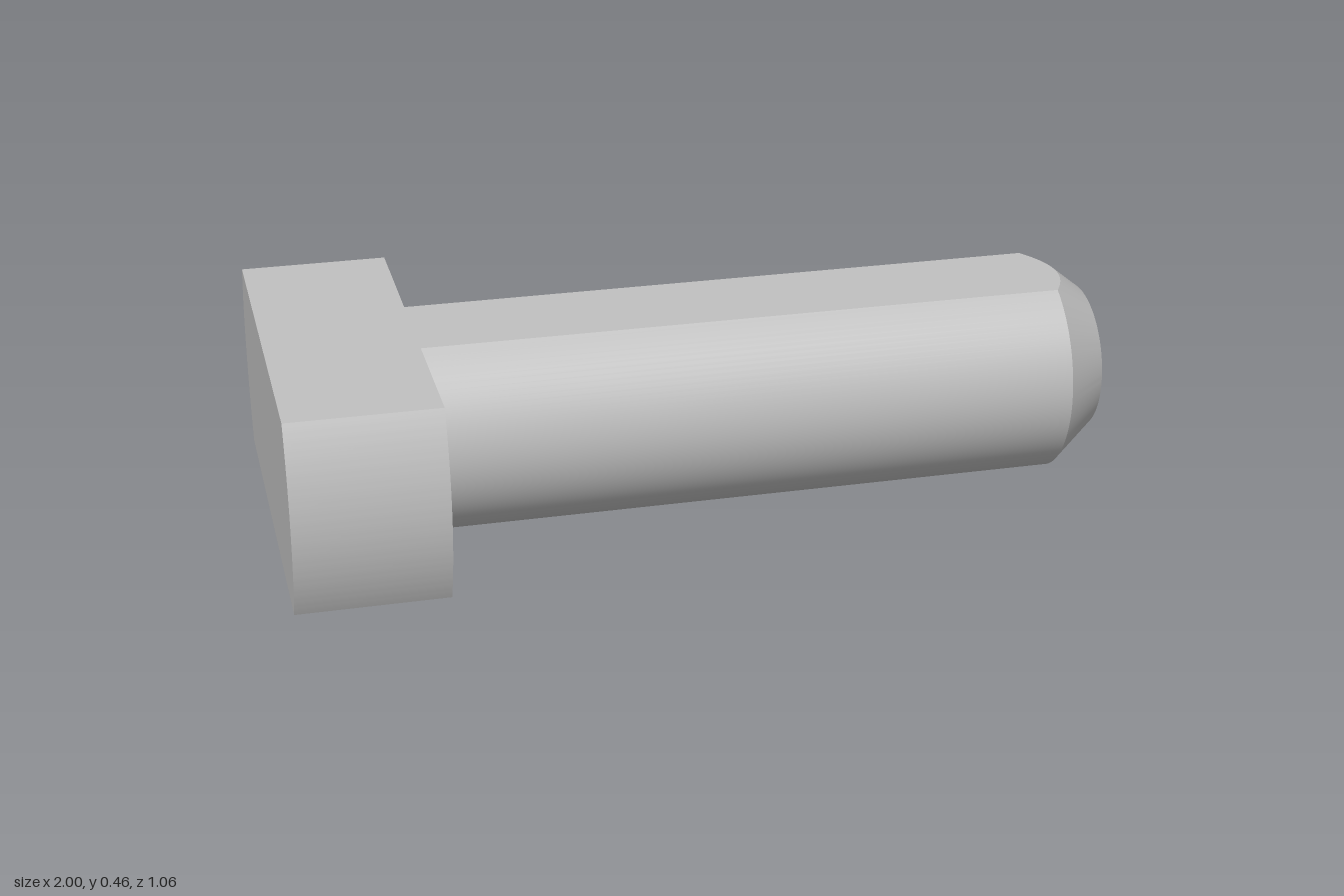
import * as THREE from 'three';
import { toCreasedNormals } from 'three/addons/utils/BufferGeometryUtils.js';

const H = 0.23;          // half height between the two flats
const HEAD_R = 0.53;     // radius of the head's rounded ends
const SHAFT_R = 0.265;   // shaft radius before the flats are cut
const TIP_R = 0.177;     // radius of the chamfered tip
const HEAD_X = -0.65, CHAMFER_X = 0.89;

// Head: a disc cut by two parallel flats
function headGeometry() {
  const a = Math.asin(H / HEAD_R);
  const shape = new THREE.Shape();
  shape.absarc(0, 0, HEAD_R, -a, a, false);
  shape.absarc(0, 0, HEAD_R, Math.PI - a, Math.PI + a, false);
  shape.closePath();
  const geo = new THREE.ExtrudeGeometry(shape, { depth: HEAD_X + 1, bevelEnabled: false, curveSegments: 32 });
  geo.rotateY(Math.PI / 2).translate(-1, H, 0);
  return toCreasedNormals(geo, 0.4);
}

// Angles round the shaft, with samples exactly on the edges of the flats
function shaftAngles() {
  const c = Math.asin(H / SHAFT_R);
  const stops = [-c, c, Math.PI - c, Math.PI + c, 2 * Math.PI - c];
  const angles = [];
  for (let s = 0; s < 4; s++) {
    const n = s % 2 ? 24 : 40;
    for (let i = 0; i < n; i++) angles.push(THREE.MathUtils.lerp(stops[s], stops[s + 1], i / n));
  }
  return angles;
}

// Shaft: flatted cylinder whose conical chamfer meets the flats in a curve
function shaftGeometry() {
  const angles = shaftAngles(), n = angles.length;
  const pos = [], index = [];
  for (const a of angles) {
    const r = Math.min(SHAFT_R, H / Math.max(Math.abs(Math.sin(a)), 1e-6));
    const edgeX = CHAMFER_X + (1 - CHAMFER_X) * (SHAFT_R - r) / (SHAFT_R - TIP_R);
    for (const [x, rad] of [[HEAD_X, r], [edgeX, r], [1, TIP_R]]) {
      pos.push(x, H + rad * Math.sin(a), rad * Math.cos(a));
    }
  }
  pos.push(1, H, 0);
  for (let i = 0; i < n; i++) {
    const p = i * 3, q = ((i + 1) % n) * 3;
    for (let k = 0; k < 2; k++) index.push(p + k, p + k + 1, q + k + 1, p + k, q + k + 1, q + k);
    index.push(n * 3, q + 2, p + 2); // tip face
  }
  const geo = new THREE.BufferGeometry();
  geo.setAttribute('position', new THREE.Float32BufferAttribute(pos, 3));
  geo.setIndex(index);
  return toCreasedNormals(geo, 0.4);
}

export function createModel() {
  const steel = new THREE.MeshStandardMaterial({ color: 0xc0c0c0 });
  steel.name = 'steel grey';
  const group = new THREE.Group();
  group.name = 'tHeadBolt';
  const add = (name, geometry) => {
    const mesh = new THREE.Mesh(geometry, steel);
    mesh.name = name;
    group.add(mesh);
  };
  add('head', headGeometry());
  add('shaft', shaftGeometry());
  return group;
}
